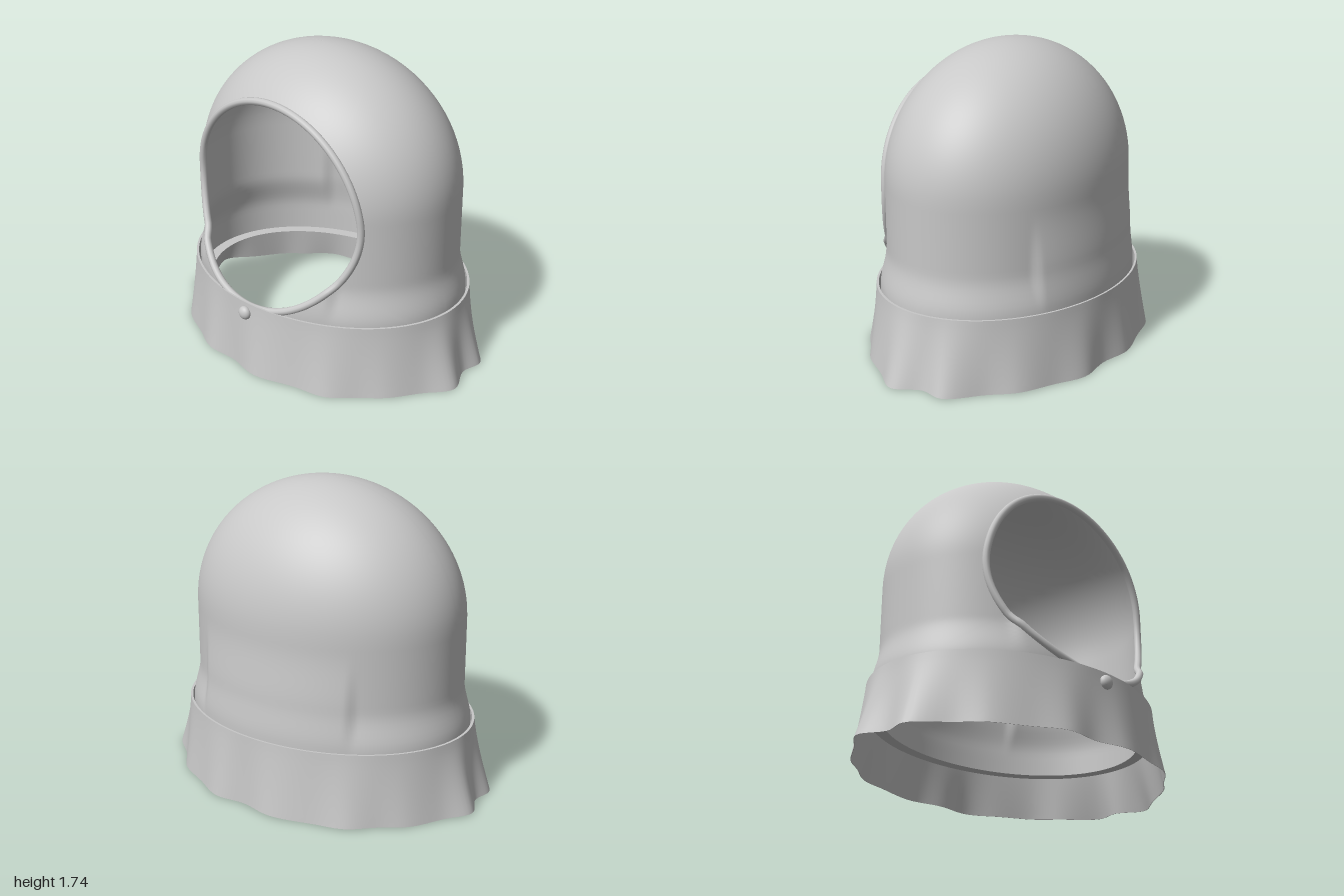
import * as THREE from 'three';
import { mergeGeometries, mergeVertices } from 'three/addons/utils/BufferGeometryUtils.js';

const BOTTOM = 0.24, SPRING = 1.0, TOP = 1.74; // shell bottom, start of dome, crown
const N = 48;
const { smoothstep, lerp } = THREE.MathUtils;

// Grid surface from a rule fn(a, b) with a and b from 0 to 1
function patch(ni, nj, fn) {
  const pos = [], index = [];
  for (let i = 0; i <= ni; i++)
    for (let j = 0; j <= nj; j++) pos.push(...fn(i / ni, j / nj).toArray());
  for (let i = 0; i < ni; i++)
    for (let j = 0; j < nj; j++) {
      const a = i * (nj + 1) + j, b = a + nj + 1;
      index.push(a, b, b + 1, a, b + 1, a + 1);
    }
  const g = new THREE.BufferGeometry();
  g.setAttribute('position', new THREE.Float32BufferAttribute(pos, 3));
  g.setIndex(index);
  return g;
}

function smooth(parts) {
  const g = mergeVertices(mergeGeometries(parts), 1e-4);
  g.computeVertexNormals();
  return g;
}

// Point on the shell: u runs round it, v from the bottom (0) to the crown (1)
function shellPoint(u, v) {
  let y, k = 1;
  if (v <= 0.5) y = BOTTOM + (SPRING - BOTTOM) * v * 2;
  else {
    const a = (v - 0.5) * Math.PI;
    k = Math.max(0, Math.cos(a));
    y = SPRING + (TOP - SPRING) * Math.sin(a);
  }
  const flare = 0.04 * (1 - smoothstep(y, 0.4, 0.62));
  const x = (0.818 + flare) * k * Math.cos(u);
  let z = (0.615 + flare) * k * Math.sin(u);
  // slightly raised panels low on the front and back
  const rise = smoothstep(y, 0.38, 0.6) - smoothstep(y, 0.6, 0.95);
  z += Math.sign(z) * 0.024 * (1 - smoothstep(Math.abs(x), 0.46, 0.51)) * rise;
  return new THREE.Vector3(x, y, z);
}

// Walk round the border of the front half in (u, v)
function border(s) {
  const side = Math.min(3, Math.floor(s * 4 + 1e-9)), f = s * 4 - side;
  return [[Math.PI * f, 0], [Math.PI, f], [Math.PI * (1 - f), 1], [0, 1 - f]][side];
}

// Point between the round face opening (r = 0) and the border (r = 1)
function frontPoint(s, r) {
  const [bu, bv] = border(s), cu = Math.PI / 2, cv = 0.462;
  const at = t => shellPoint(cu + (bu - cu) * t, cv + (bv - cv) * t);
  let lo = 0, hi = 1;
  for (let n = 0; n < 30; n++) {
    const t = (lo + hi) / 2, p = at(t);
    if ((p.x / 0.602) ** 2 + ((p.y - 0.943) / 0.562) ** 2 < 1) lo = t; else hi = t;
  }
  return at(lo + (1 - lo) * r);
}

// Half of the wavy collar hem as x, z; the other half is the same turned by 180 degrees
const HEM = [[-1, -0.08], [-0.9, -0.23], [-0.79, -0.4], [-0.67, -0.5], [-0.53, -0.62], [-0.35, -0.665],
  [-0.1, -0.73], [0.1, -0.695], [0.29, -0.7], [0.46, -0.62], [0.66, -0.52], [0.78, -0.38], [0.95, -0.22], [0.935, -0.08]];

function collarGeometry() {
  const turned = HEM.map(([x, z]) => [-x, -z]);
  const hem = new THREE.CatmullRomCurve3(
    [...HEM, ...turned].map(([x, z]) => new THREE.Vector3(x, 0, z)), true);
  // depth 0 is the outer face, 1 the inner face; the cloth thins towards the hem
  const ring = (s, t, depth) => {
    const p = hem.getPoint(s % 1);
    const a = Math.atan2(p.z / 0.68, p.x / 0.88);
    const w = Math.pow(t, 1.2);
    const scale = 1 - depth * lerp(0.016, 0.004, t);
    return new THREE.Vector3(
      lerp(0.88 * Math.cos(a), p.x, w) * scale,
      0.41 - t * (0.403 + 0.003 * Math.sin(a * 9)),
      lerp(0.68 * Math.sin(a), p.z, w) * scale);
  };
  return mergeGeometries([
    patch(12, 168, (t, s) => ring(s, t, 0)),
    patch(12, 168, (t, s) => ring(s, 1 - t, 1)),
    patch(1, 168, (t, s) => ring(s, 0, 1 - t)),
    patch(1, 168, (t, s) => ring(s, 1, t)),
  ].map(g => smooth([g])));
}

export function createModel() {
  const model = new THREE.Group();
  model.name = 'helmet';
  const grey = new THREE.MeshStandardMaterial({ color: 0xc8c8c8, side: THREE.DoubleSide });
  grey.name = 'plain grey';
  const add = (name, geometry) => {
    const mesh = new THREE.Mesh(geometry, grey);
    mesh.name = name;
    model.add(mesh);
    return mesh;
  };

  // Thin domed shell with the round face opening
  add('shell', smooth([
    patch(4 * N, 24, frontPoint),
    patch(N, 3 * N, (v, u) => shellPoint(Math.PI * (1 + u), v)),
  ]));

  // Lip turned inwards at the bottom of the shell
  add('neckLip', smooth([patch(1, 4 * N, (t, s) => {
    const p = shellPoint(s * 2 * Math.PI, 0);
    return p.set(p.x * (1 - 0.075 * t), p.y, p.z * (1 - 0.105 * t));
  })]));

  // Round beading on the face opening
  const points = [];
  for (let k = 0; k < 64; k++) points.push(frontPoint(k / 64, 0));
  add('faceOpeningRim', new THREE.TubeGeometry(new THREE.CatmullRomCurve3(points, true), 160, 0.021, 10, true));

  // Flared wavy collar and its front stud
  add('collar', collarGeometry());
  const stud = add('collarStud', new THREE.SphereGeometry(0.039, 24, 16));
  stud.scale.z = 0.75;
  stud.position.set(0, 0.35, 0.69);

  return model;
}
